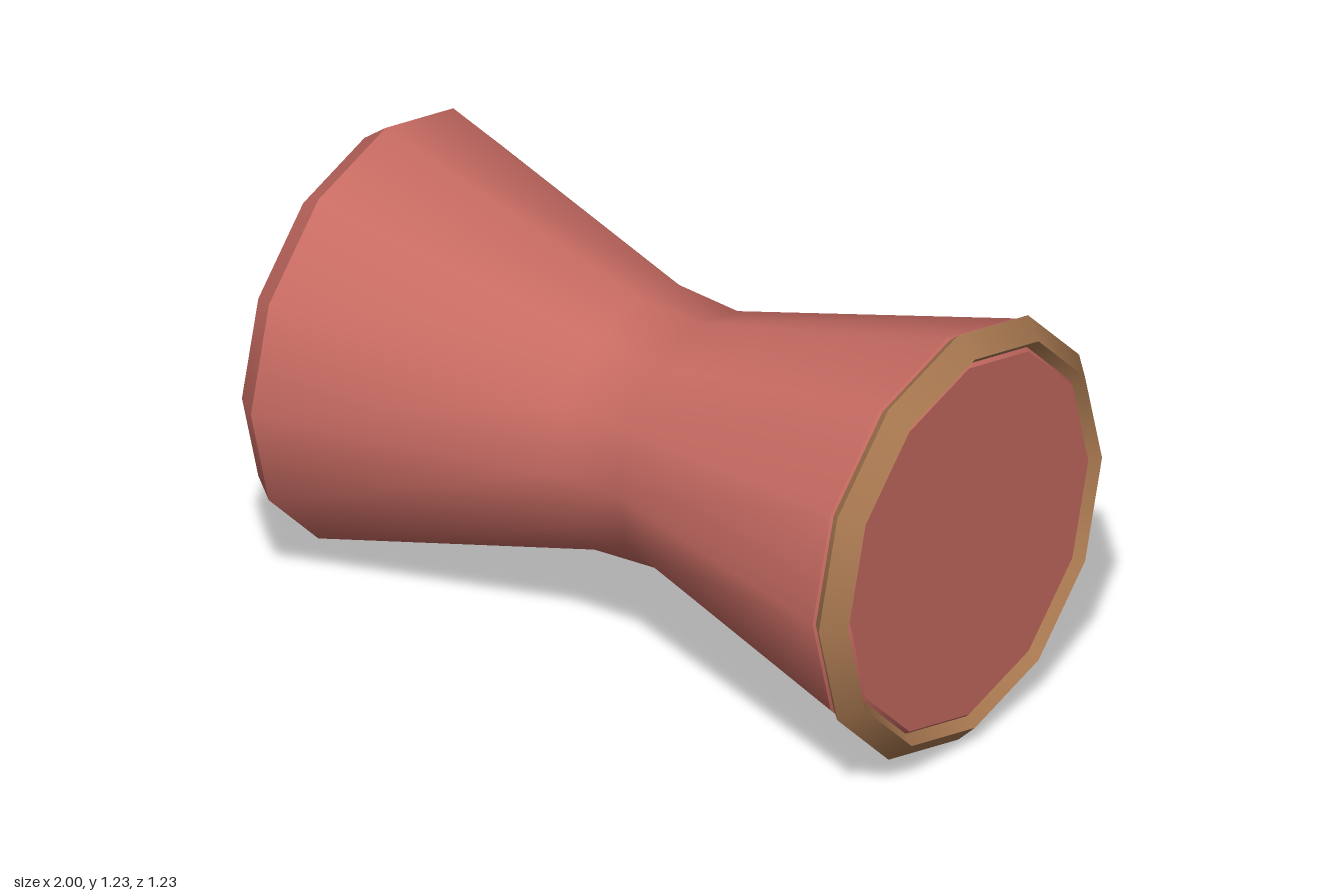
import * as THREE from 'three';

const red = new THREE.MeshStandardMaterial({ color: 0xc76b62 });
red.name = 'red body';
const brown = new THREE.MeshStandardMaterial({ color: 0xa87850 });
brown.name = 'brown rim';

const SIDES = 12;
const AXIS_HEIGHT = 0.615;

// Revolves a [x, radius] profile about the x axis; points run towards +x for an outward skin
function turned(name, profile, material) {
  const points = profile.map(([x, r]) => new THREE.Vector2(r, x));
  const geometry = new THREE.LatheGeometry(points, SIDES);
  geometry.rotateZ(-Math.PI / 2);
  const mesh = new THREE.Mesh(geometry, material);
  mesh.name = name;
  return mesh;
}

export function createModel() {
  const model = new THREE.Group();
  model.name = 'hourglassSpool';

  // Waisted body, each crease starting a new surface
  const body = new THREE.Group();
  body.name = 'body';
  body.add(
    turned('leftEnd', [[-1, 0], [-1, 0.54]], red),
    turned('leftBevel', [[-1, 0.54], [-0.93, 0.595]], red),
    turned('waistedSide', [[-0.93, 0.595], [-0.11, 0.367], [0.09, 0.356], [0.91, 0.595]], red),
    turned('rightBevel', [[0.91, 0.595], [0.98, 0.526]], red),
    turned('rightEnd', [[0.98, 0.526], [0.98, 0]], red),
  );

  // Raised ring around the right end
  const rim = new THREE.Group();
  rim.name = 'rim';
  const section = [[0.915, 0.588], [0.945, 0.615], [1, 0.56], [0.967, 0.532]];
  ['rimBack', 'rimOuter', 'rimInner'].forEach((name, i) => {
    rim.add(turned(name, [section[i], section[i + 1]], brown));
  });

  model.add(body, rim);
  model.position.y = AXIS_HEIGHT;
  return model;
}
